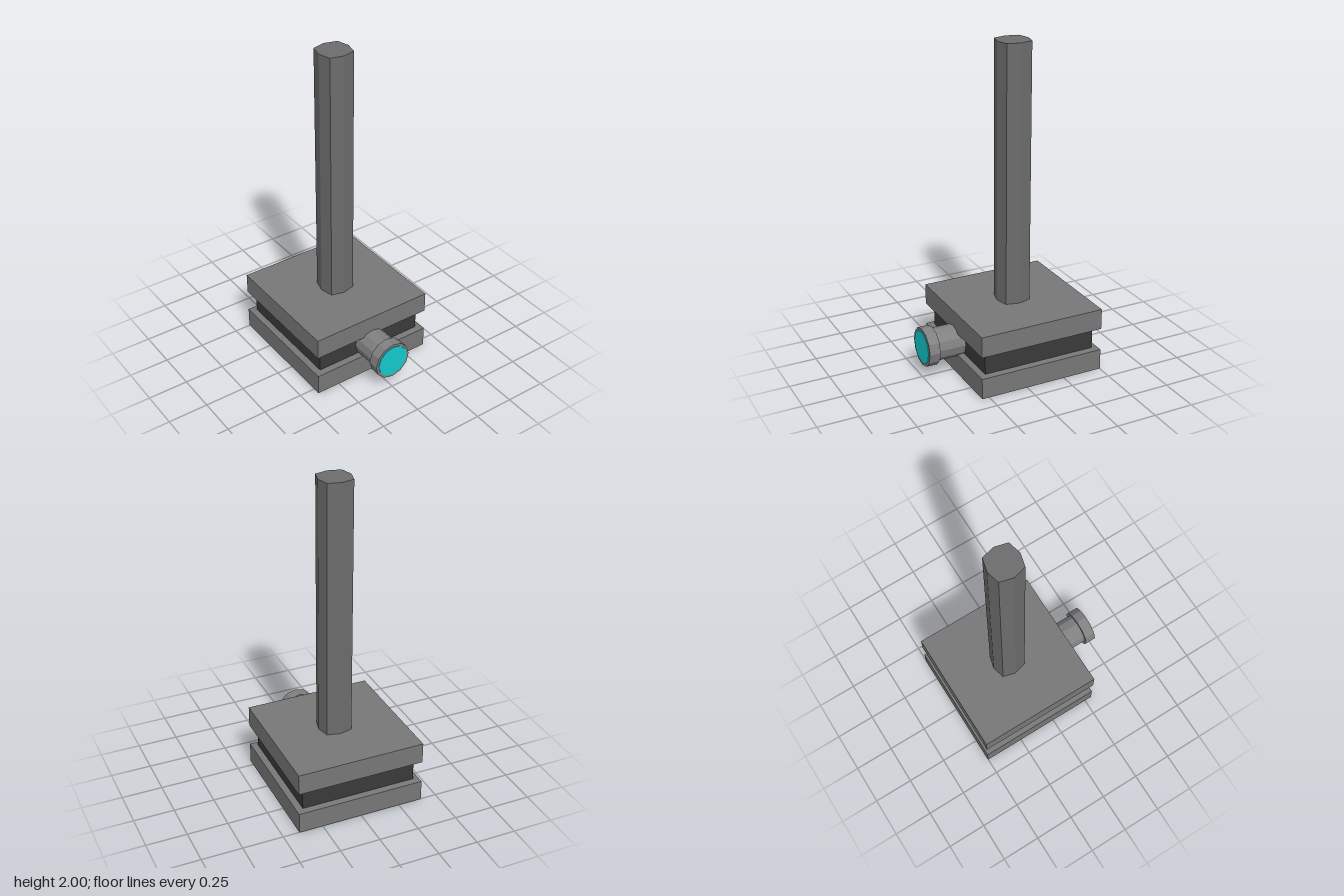
import * as THREE from 'three';

const CX = -0.103; // centre line of base and post

const mat = (color) => new THREE.MeshStandardMaterial({ color, flatShading: true });

export function createModel() {
  const model = new THREE.Group();
  const add = (name, geometry, material, x, y) => {
    const mesh = new THREE.Mesh(geometry, material);
    mesh.name = name;
    mesh.position.set(x, y, 0);
    model.add(mesh);
    return mesh;
  };
  const slabMat = mat(0x777777);
  const knobMat = mat(0x808080);

  // Square base plates, inner faces tapering slightly to the rim
  const profile = [[0, 0.065], [0.36, 0.065], [0.399, 0.07], [0.399, 0.2], [0, 0.2]]
    .map(([r, y]) => new THREE.Vector2(r * Math.SQRT2, y));
  const plate = new THREE.LatheGeometry(profile, 4, Math.PI / 4);
  add('topPlate', plate, slabMat, CX, 0.2);
  add('bottomPlate', plate, slabMat, CX, 0.2).rotation.x = Math.PI;

  // Dark recessed core between the plates
  add('core', new THREE.BoxGeometry(0.72, 0.14, 0.72), mat(0x3a3a3a), CX, 0.2);

  // Eight-sided post
  const outline = [];
  for (let i = 0; i < 8; i++) {
    const a = (i * Math.PI) / 4, r = i % 2 ? 0.113 : 0.1;
    outline.push(new THREE.Vector2(r * Math.cos(a), r * Math.sin(a)));
  }
  const post = new THREE.ExtrudeGeometry(new THREE.Shape(outline), { depth: 1.62, bevelEnabled: false });
  post.rotateX(-Math.PI / 2);
  add('post', post, mat(0x6c6c6c), CX, 0.38);

  // Side knob: stem, wider head and coloured end disc, all along x
  const rod = (name, radius, x0, x1, material) => {
    const g = new THREE.CylinderGeometry(radius, radius, x1 - x0, 12);
    g.rotateZ(-Math.PI / 2);
    add(name, g, material, (x0 + x1) / 2, 0.2);
  };
  rod('knobStem', 0.1, 0.22, 0.44, knobMat);
  rod('knobHead', 0.12, 0.43, 0.498, knobMat);
  rod('knobDisc', 0.104, 0.48, 0.502, mat(0x14c8cc));

  return model;
}
